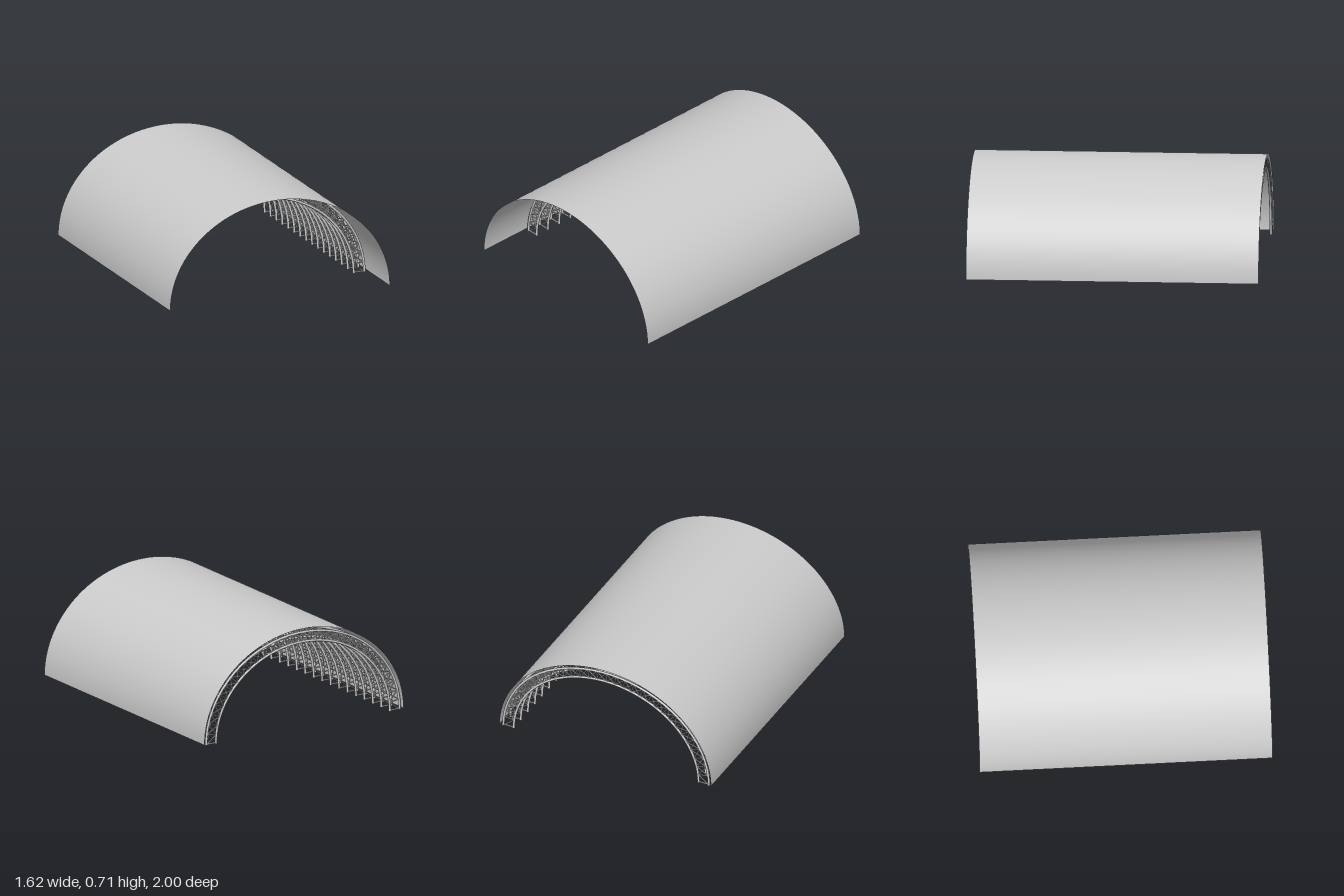
import * as THREE from 'three';
import { mergeGeometries } from 'three/addons/utils/BufferGeometryUtils.js';

const BASE = 0.007;                 // height of the shell's lower edge
const OUTER = [0.787, 0.678];       // ellipse radii of the outer chord
const INNER = [0.708, 0.61];        // ellipse radii of the inner chord
const PANELS = 32, TRUSSES = 16;
const CHORD_R = 0.009, WEB_R = 0.0045;

// Point on a half ellipse; t runs 0..1 from +x over the top to -x
function archPoint([rx, ry], t) {
  const a = Math.PI * t;
  return new THREE.Vector3(rx * Math.cos(a), ry * Math.sin(a), 0);
}

class ArchCurve extends THREE.Curve {
  constructor(radii) {
    super();
    this.radii = radii;
  }
  getPoint(t, target = new THREE.Vector3()) {
    return target.copy(archPoint(this.radii, t));
  }
}

// Round bar between two points
function bar(a, b, radius) {
  const dir = b.clone().sub(a);
  const g = new THREE.CylinderGeometry(radius, radius, dir.length(), 6, 1);
  const q = new THREE.Quaternion().setFromUnitVectors(new THREE.Vector3(0, 1, 0), dir.normalize());
  return g.applyQuaternion(q).translate((a.x + b.x) / 2, (a.y + b.y) / 2, 0);
}

// Outer and inner chords with closed feet
function chordGeometry() {
  const parts = [];
  for (const radii of [OUTER, INNER]) {
    parts.push(new THREE.TubeGeometry(new ArchCurve(radii), 64, CHORD_R, 8, false));
    for (const s of [1, -1]) {
      parts.push(new THREE.CircleGeometry(CHORD_R, 8).rotateX(Math.PI / 2).translate(s * radii[0], 0, 0));
    }
  }
  return mergeGeometries(parts);
}

// Radial struts with crossed diagonals; the foot panels have one diagonal
function webGeometry() {
  const outer = new ArchCurve(OUTER).getSpacedPoints(PANELS);
  const inner = new ArchCurve(INNER).getSpacedPoints(PANELS);
  const parts = [];
  for (let i = 0; i <= PANELS; i++) {
    const foot = i === 0 || i === PANELS;
    const strut = bar(outer[i], inner[i], foot ? 0.006 : WEB_R);
    if (foot) strut.translate(0, 0.006, 0);
    parts.push(strut);
    if (i === PANELS) break;
    if (i < PANELS - 1) parts.push(bar(outer[i], inner[i + 1], WEB_R));
    if (i > 0) parts.push(bar(inner[i], outer[i + 1], WEB_R));
  }
  return mergeGeometries(parts);
}

// Thin half-elliptical roof, open at both ends
function shellGeometry() {
  const g = new THREE.CylinderGeometry(1, 1, 2, 96, 1, true, -Math.PI / 2, Math.PI);
  g.rotateX(-Math.PI / 2);
  return g.scale(0.81, 0.7, 1).translate(0, BASE, 0);
}

export function createModel() {
  const model = new THREE.Group();
  model.name = 'archedHangar';
  const steel = new THREE.MeshStandardMaterial({ color: 0xcccccc });
  const sheet = new THREE.MeshStandardMaterial({ color: 0xcccccc, side: THREE.DoubleSide });

  const roof = new THREE.Mesh(shellGeometry(), sheet);
  roof.name = 'roofShell';
  model.add(roof);

  // Row of identical arched trusses, leaving the front bay clear
  const chords = chordGeometry();
  const web = webGeometry();
  for (let i = 0; i < TRUSSES; i++) {
    const truss = new THREE.Group();
    truss.name = `archTruss${i + 1}`;
    const chordMesh = new THREE.Mesh(chords, steel);
    chordMesh.name = 'chords';
    const webMesh = new THREE.Mesh(web, steel);
    webMesh.name = 'webBracing';
    truss.add(chordMesh, webMesh);
    truss.position.z = THREE.MathUtils.lerp(0.6, -0.985, i / (TRUSSES - 1));
    model.add(truss);
  }
  return model;
}
